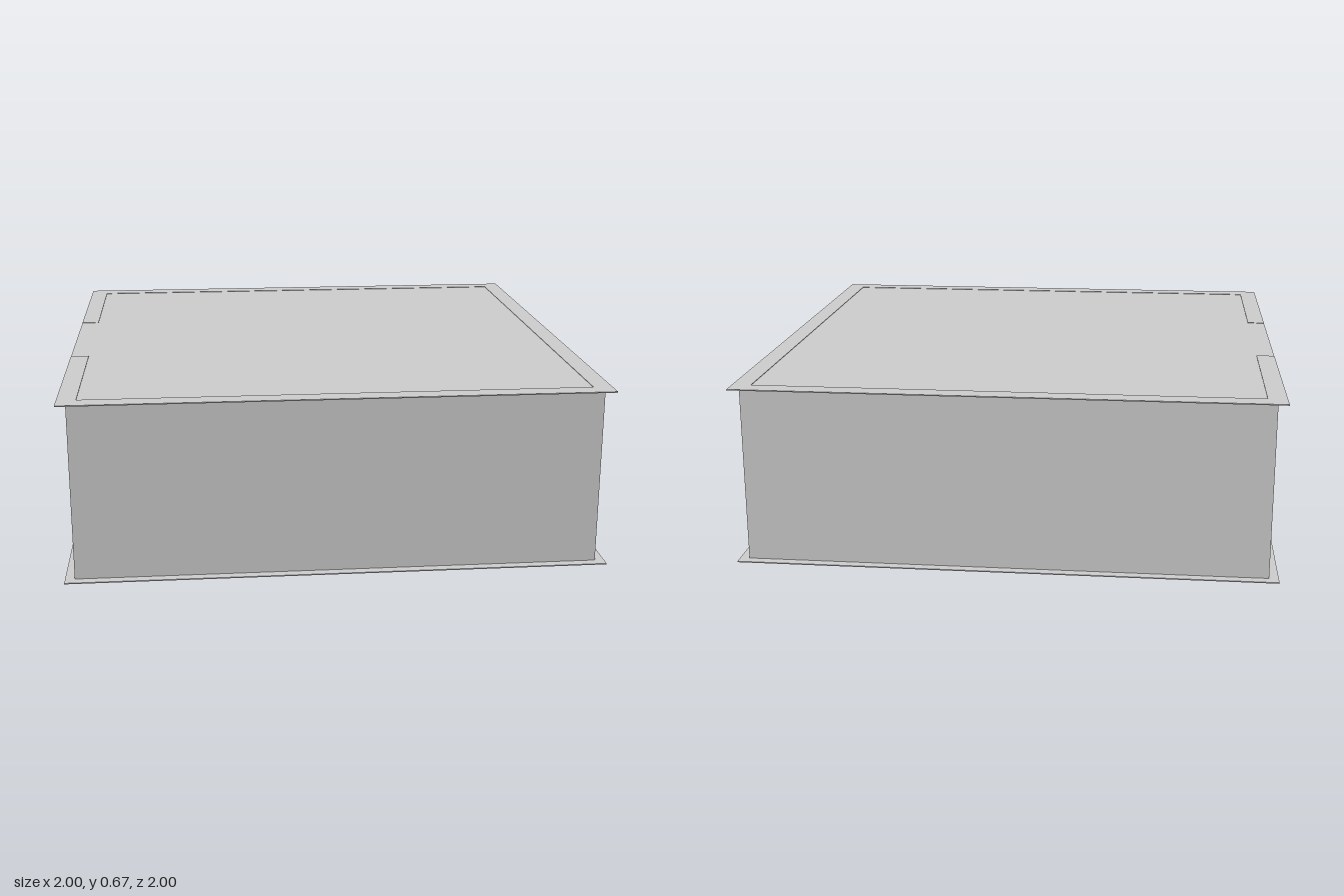
import * as THREE from 'three';

const H = 0.67;      // overall height
const WALL = 0.963;  // wall centre line
const T = 0.004;     // sheet thickness
const DOOR = 0.3;    // half width of the doorway
const TRACK = 0.07;  // width of the channel strips

export function createModel() {
  const group = new THREE.Group();
  const material = new THREE.MeshStandardMaterial({ color: 0xcccccc, side: THREE.DoubleSide, flatShading: true });

  const box = (name, w, h, d, x, y, z) => {
    const mesh = new THREE.Mesh(new THREE.BoxGeometry(w, h, d), material);
    mesh.name = name;
    mesh.position.set(x, y, z);
    group.add(mesh);
  };

  // Floor and roof sheets overhang the walls
  box('floor', 2, T / 2, 2, 0, T / 4, 0);
  box('roof', 2, T / 2, 2, 0, H - T * 0.75, 0);

  // One wall sheet with a flat channel strip along its foot and head
  const wall = (name, x, z, length, alongX, stripLength = length, shift = 0) => {
    const size = (thick, len) => (alongX ? [len, thick] : [thick, len]);
    const [w, d] = size(T, length);
    box(name + 'Wall', w, H - T, d, x, H / 2, z);
    const [sw, sd] = size(TRACK, stripLength);
    const sx = Math.sign(x) * (1 - TRACK / 2), sz = Math.sign(z) * (1 - TRACK / 2);
    const px = alongX ? x : sx, pz = alongX ? sz : z + shift;
    box(name + 'FootTrack', sw, T / 2, sd, px, T * 0.75, pz);
    box(name + 'HeadTrack', sw, T / 2, sd, px, H - T / 4, pz);
  };

  const full = 2 * WALL + T;
  const strip = 2 - 2 * TRACK;
  wall('front', 0, WALL, full, true, 2);
  wall('back', 0, -WALL, full, true, 2);
  wall('left', WALL, 0, full, false, strip);

  // The right side is split by a full-height doorway
  const part = WALL - DOOR;
  const partStrip = 1 - TRACK - DOOR;
  for (const s of [1, -1]) {
    const centre = s * (DOOR + part / 2);
    wall(s > 0 ? 'rightFront' : 'rightBack', -WALL, centre, part, false, partStrip,
      s * (DOOR + partStrip / 2) - centre);
  }
  return group;
}
